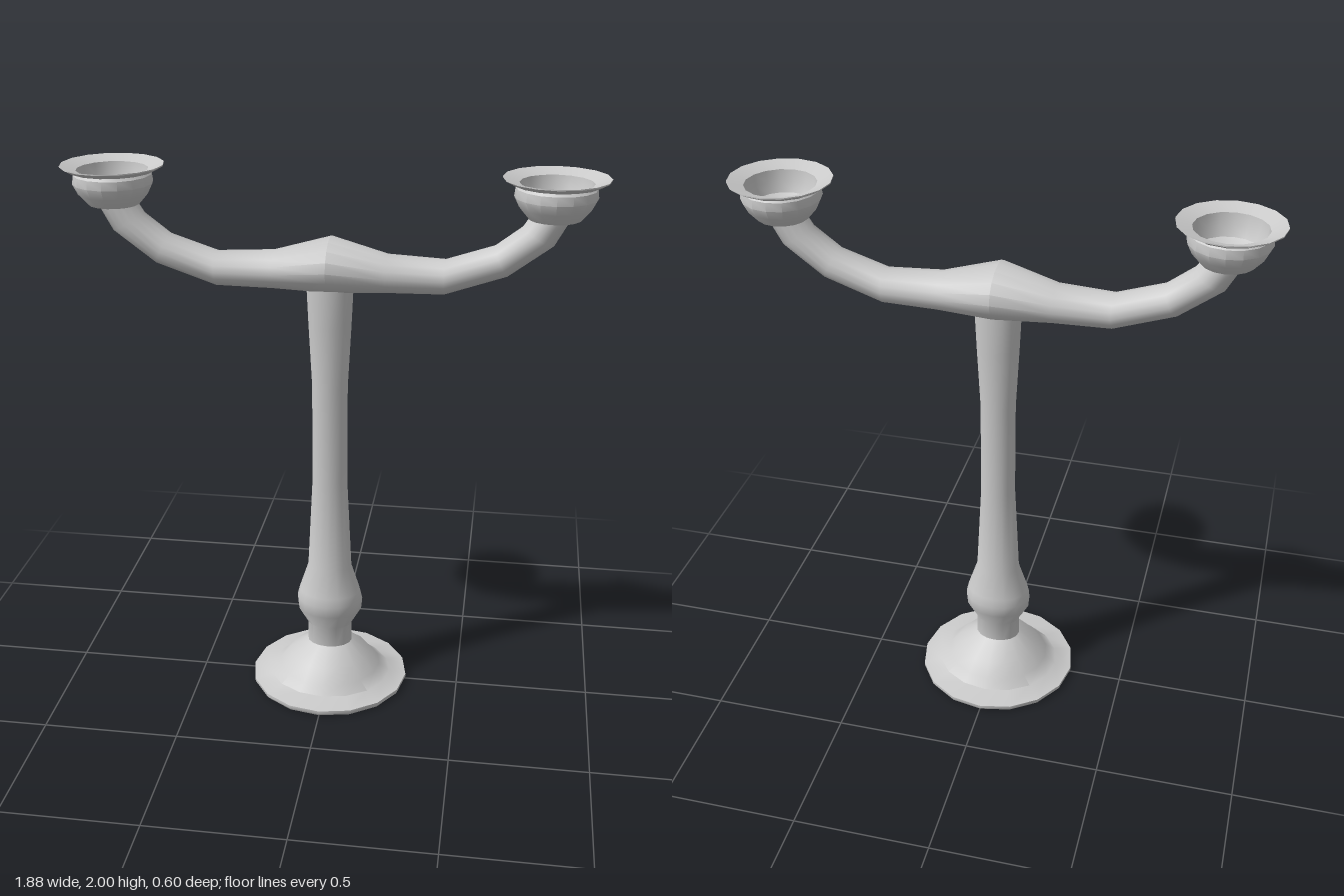
import * as THREE from 'three';
import { toCreasedNormals } from 'three/addons/utils/BufferGeometryUtils.js';

const SIDES = 16;
const material = new THREE.MeshStandardMaterial({ color: 0xcccccc, side: THREE.DoubleSide });

// Skins a row of rings; point(ring, angle) gives a position on each ring.
function loft(rings, point) {
  const positions = [];
  const index = [];
  rings.forEach((ring, i) => {
    for (let j = 0; j < SIDES; j++) {
      positions.push(...point(ring, (j / SIDES) * Math.PI * 2));
      if (i === rings.length - 1) continue;
      const k = (j + 1) % SIDES;
      const a = i * SIDES + j, b = a + SIDES, c = i * SIDES + k, d = c + SIDES;
      index.push(a, b, c, c, b, d);
    }
  });
  const geometry = new THREE.BufferGeometry();
  geometry.setAttribute('position', new THREE.Float32BufferAttribute(positions, 3));
  geometry.setIndex(index);
  return geometry;
}

function part(name, geometry, crease = 0.6) {
  const flat = geometry.index ? geometry.toNonIndexed() : geometry;
  const mesh = new THREE.Mesh(toCreasedNormals(flat, crease), material);
  mesh.name = name;
  return mesh;
}

// Upright oval ring: [y, half width, half depth]
const upright = ([y, rx, rz], t) => [rx * Math.cos(t), y, rz * Math.sin(t)];

export function createModel() {
  const group = new THREE.Group();
  group.name = 'candelabra';

  // Hollow foot with a thin round lip
  group.add(part('foot', loft([
    [0.005, 0.27, 0.27], [0, 0.295, 0.295], [0.008, 0.3, 0.3], [0.02, 0.3, 0.3],
    [0.03, 0.235, 0.215], [0.06, 0.195, 0.185], [0.11, 0.155, 0.148], [0.16, 0.085, 0.066],
  ], upright)));

  // Oval stem with collar and bulb
  group.add(part('stem', loft([
    [0.15, 0.085, 0.066], [0.24, 0.085, 0.066], [0.305, 0.122, 0.097], [0.35, 0.126, 0.101],
    [0.385, 0.117, 0.094], [0.49, 0.083, 0.066], [0.85, 0.065, 0.053], [1.22, 0.065, 0.053],
    [1.45, 0.077, 0.062], [1.63, 0.085, 0.067],
  ], upright)));

  // Curved arms: [lower x, lower y, upper x, upper y, half depth] from the centre out
  const half = [
    [0, 1.577, 0, 1.77, 0.128],
    [0.2, 1.583, 0.2, 1.715, 0.085],
    [0.4, 1.585, 0.4, 1.705, 0.073],
    [0.615, 1.658, 0.565, 1.76, 0.068],
    [0.765, 1.77, 0.655, 1.83, 0.065],
    [0.825, 1.88, 0.69, 1.885, 0.065],
  ];
  const mirrored = half.slice(1).reverse().map(([a, b, c, d, r]) => [-a, b, -c, d, r]);
  group.add(part('arms', loft([...mirrored, ...half], ([lx, ly, ux, uy, rz], t) => [
    (lx + ux) / 2 + ((ux - lx) / 2) * Math.cos(t),
    (ly + uy) / 2 + ((uy - ly) / 2) * Math.cos(t),
    -rz * Math.sin(t),
  ])));

  // Candle cups: outer wall up to the flared rim, then down the inside
  const profile = [
    [0, 1.862], [0.09, 1.862], [0.123, 1.9], [0.14, 1.935], [0.136, 1.965], [0.125, 1.977],
    [0.15, 1.979], [0.18, 1.996], [0.18, 2], [0.125, 1.982],
    [0.12, 1.94], [0.105, 1.905], [0.07, 1.885], [0, 1.885],
  ].map(([r, y]) => new THREE.Vector2(r, y));
  for (const side of [1, -1]) {
    const cup = part(side > 0 ? 'leftCup' : 'rightCup', new THREE.LatheGeometry(profile, SIDES));
    cup.position.x = 0.76 * side;
    group.add(cup);
  }
  return group;
}
